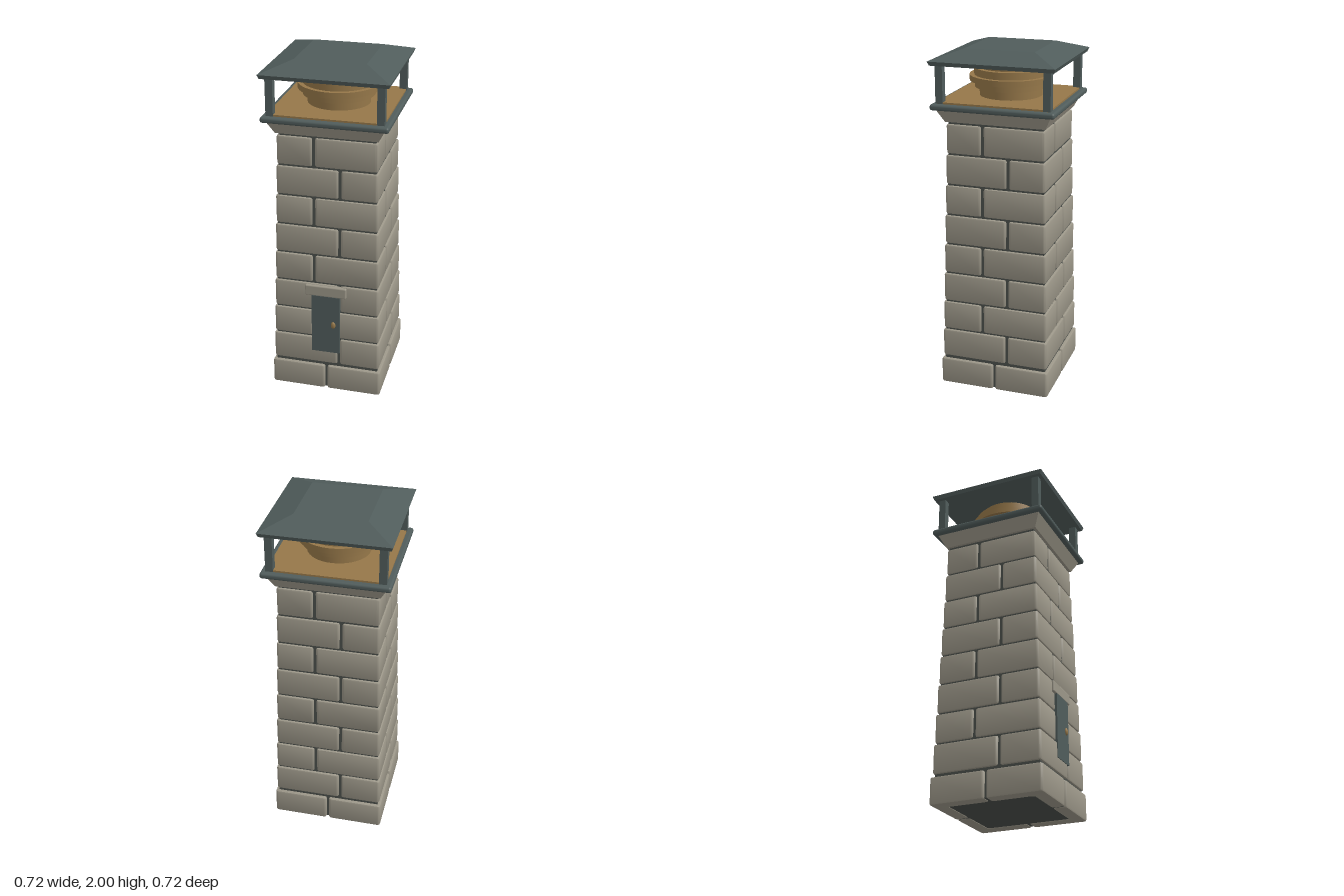
import * as THREE from 'three';
import { toCreasedNormals } from 'three/addons/utils/BufferGeometryUtils.js';
import { RoundedBoxGeometry } from 'three/addons/geometries/RoundedBoxGeometry.js';

const material = (name, color) => new THREE.MeshStandardMaterial({ name, color });

// Closed outline whose corners are rounded by r
function roundedOutline(corners, r) {
  const pts = corners.map(([x, y]) => new THREE.Vector2(x, y));
  const shape = new THREE.Shape();
  pts.forEach((p, i) => {
    const prev = pts[(i + pts.length - 1) % pts.length];
    const next = pts[(i + 1) % pts.length];
    const a = prev.clone().sub(p).setLength(r).add(p);
    const b = next.clone().sub(p).setLength(r).add(p);
    if (i === 0) shape.moveTo(a.x, a.y);
    else shape.lineTo(a.x, a.y);
    shape.quadraticCurveTo(p.x, p.y, b.x, b.y);
  });
  shape.closePath();
  return shape;
}

// L-shaped corner stone: half = outer half width, split = joint offset on each face
function cornerStone(half, split, y, height) {
  const gap = 0.007, depth = 0.08, bevel = 0.011;
  const inner = half - depth, x = split + gap, z = -split + gap;
  const outline = roundedOutline(
    [[x, half], [x, inner], [inner, inner], [inner, z], [half, z], [half, half]], 0.016);
  const geo = new THREE.ExtrudeGeometry(outline, {
    depth: height - 2 * bevel, bevelThickness: bevel, bevelSize: bevel,
    bevelOffset: -bevel, bevelSegments: 2, curveSegments: 3,
  });
  geo.rotateX(Math.PI / 2).translate(0, y + height - bevel, 0);
  return toCreasedNormals(geo, 0.7);
}

// Square frustum with flat faces
function frustum(bottomHalf, topHalf, y0, y1) {
  const geo = new THREE.CylinderGeometry(topHalf * Math.SQRT2, bottomHalf * Math.SQRT2, y1 - y0, 4)
    .rotateY(Math.PI / 4).translate(0, (y0 + y1) / 2, 0).toNonIndexed();
  geo.computeVertexNormals();
  return geo;
}

export function createModel() {
  const stone = material('stone', 0x9b9688);
  const mortar = material('mortar', 0x4a4e4a);
  const metal = material('dark metal', 0x505c5b);
  const brass = material('brass', 0x957749);

  const model = new THREE.Group();
  model.name = 'chimney';
  const add = (name, geo, mat, x = 0, y = 0, z = 0, parent = model) => {
    const mesh = new THREE.Mesh(geo, mat);
    mesh.name = name;
    mesh.position.set(x, y, z);
    parent.add(mesh);
    return mesh;
  };

  // Tapering mortar core behind the stones
  add('mortarCore', frustum(0.312, 0.274, 0.006, 1.61), mortar);

  // Courses of four corner stones, joints alternating from row to row
  const course = (name, half, split, y, height) => {
    const group = new THREE.Group();
    group.name = name;
    const geo = cornerStone(half, split, y, height);
    for (let k = 0; k < 4; k++) {
      add('cornerStone', geo, stone, 0, 0, 0, group).rotation.y = k * Math.PI / 2;
    }
    model.add(group);
  };
  course('baseCourse', 0.329, 0, 0, 0.157);
  for (let i = 0; i < 8; i++) {
    course('stoneCourse', 0.319 - i * 0.0047, i % 2 ? -0.075 : 0.075, 0.175 + i * 0.1777, 0.169);
  }

  // Door with lintel and knob
  add('door', new THREE.BoxGeometry(0.168, 0.375, 0.03), metal, -0.002, 0.443, 0.308);
  add('lintel', new RoundedBoxGeometry(0.245, 0.066, 0.04, 2, 0.008), stone, -0.002, 0.661, 0.303);
  add('doorKnob', new THREE.SphereGeometry(1, 16, 12), brass, 0.044, 0.445, 0.323)
    .scale.set(0.014, 0.022, 0.011);

  // Flared crown, tray and plate
  add('crown', frustum(0.29, 0.329, 1.602, 1.678), stone);
  add('tray', new RoundedBoxGeometry(0.712, 0.034, 0.712, 3, 0.014), metal, 0, 1.692, 0);
  add('plate', new THREE.BoxGeometry(0.65, 0.014, 0.65), brass, 0, 1.712, 0);

  // Stepped round flue
  const bands = [[0.178, 1.715, 1.768], [0.205, 1.768, 1.804], [0.234, 1.804, 1.837],
    [0.208, 1.837, 1.878], [0.178, 1.878, 1.908]];
  for (const [r, y0, y1] of bands) {
    add('flueBand', new THREE.CylinderGeometry(r, r, y1 - y0, 40), brass, 0, (y0 + y1) / 2, 0);
  }

  // Corner posts
  for (const sx of [-1, 1]) for (const sz of [-1, 1]) {
    add('post', new THREE.BoxGeometry(0.042, 0.22, 0.042), metal, sx * 0.307, 1.82, sz * 0.307);
  }

  // Hipped cap with a thin lip
  add('capLip', frustum(0.351, 0.36, 1.922, 1.945), metal);
  add('capRoof', frustum(0.36, 0.2, 1.945, 2), metal);
  return model;
}
